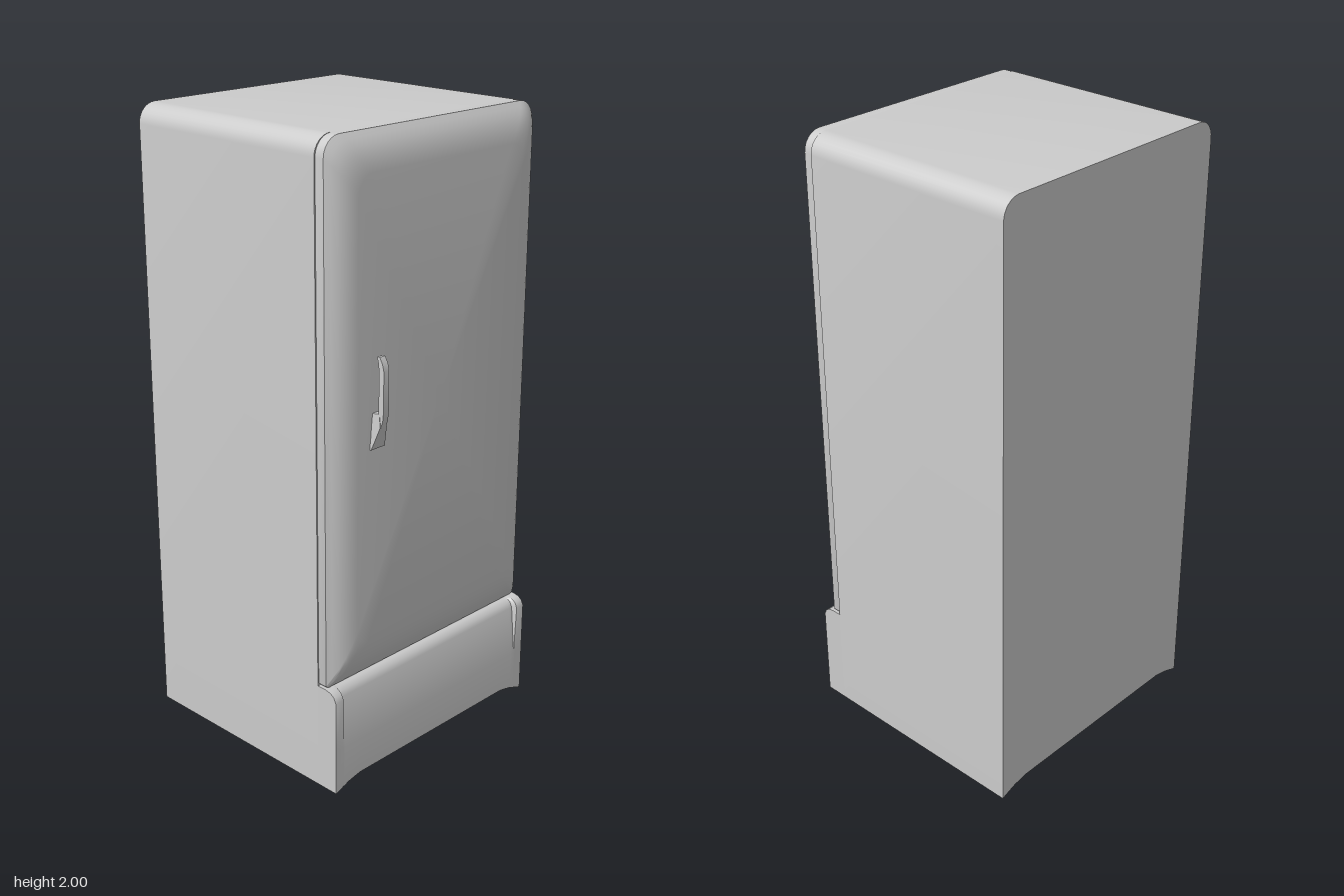
import * as THREE from 'three';
import { toCreasedNormals } from 'three/addons/utils/BufferGeometryUtils.js';

const V = (x, y, z) => new THREE.Vector3(x, y, z);
const material = new THREE.MeshStandardMaterial({ color: 0xcccccc });

// Closed skin through equal-length loops, capped at both ends.
function loft(loops, crease = 0.65) {
  const tris = [];
  const n = loops[0].length;
  for (let i = 0; i < loops.length - 1; i++) {
    for (let j = 0; j < n; j++) {
      const k = (j + 1) % n;
      const [a, b, c, d] = [loops[i][j], loops[i][k], loops[i + 1][k], loops[i + 1][j]];
      tris.push([a, b, c], [a, c, d]);
    }
  }
  const cap = (loop, flip) => {
    const mid = loop.reduce((s, p) => s.add(p), V(0, 0, 0)).divideScalar(n);
    loop.forEach((p, j) => {
      const q = loop[(j + 1) % n];
      tris.push(flip ? [mid, q, p] : [mid, p, q]);
    });
  };
  cap(loops[0], true);
  cap(loops[loops.length - 1], false);
  // Turn the faces outward if the loops ran the other way round
  const centre = loops[0][0];
  const volume = tris.reduce((s, [a, b, c]) =>
    s + a.clone().sub(centre).dot(b.clone().sub(centre).cross(c.clone().sub(centre))), 0);
  if (volume < 0) tris.forEach((t) => t.reverse());
  const geometry = new THREE.BufferGeometry().setFromPoints(tris.flat());
  return toCreasedNormals(geometry, crease);
}

// Arc points of a corner in the z-y plane at depth x
function corner(x, cz, cy, r, start, steps = 6) {
  return Array.from({ length: steps + 1 }, (_, i) => {
    const a = start + (i / steps) * Math.PI / 2;
    return V(x, cy + r * Math.sin(a), cz + r * Math.cos(a));
  });
}

function roundedRect(x, z, y0, y1, rTop, rBottom) {
  return [
    ...corner(x, z - rTop, y1 - rTop, rTop, 0),
    ...corner(x, -z + rTop, y1 - rTop, rTop, Math.PI / 2),
    ...corner(x, -z + rBottom, y0 + rBottom, rBottom, Math.PI),
    ...corner(x, z - rBottom, y0 + rBottom, rBottom, Math.PI * 1.5),
  ];
}

export function createModel() {
  const model = new THREE.Group();
  const add = (name, geometry) => {
    const mesh = new THREE.Mesh(geometry, material);
    mesh.name = name;
    model.add(mesh);
  };

  // Cabinet: rounded top corners, shallow arch between the feet
  const cabinetLoop = (x) => [
    ...corner(x, 0.385, 1.94, 0.06, 0, 8),
    ...corner(x, -0.385, 1.94, 0.06, Math.PI / 2, 8),
    V(x, 0, -0.445), V(x, 0.02, -0.39), V(x, 0.03, -0.34),
    V(x, 0.03, 0.34), V(x, 0.02, 0.39), V(x, 0, 0.445),
  ];
  add('cabinet', loft([cabinetLoop(-0.425), cabinetLoop(0.312)]));

  // Plinth: the front panel leans back between two side cheeks
  const plinthLoop = (z, bottom, lean) => [
    V(0.3, bottom, z), V(0.388, bottom, z), V(0.388, 0.15, z),
    V(0.388 - lean, 0.315, z), V(0.38 - lean, 0.332, z),
    V(0.366 - lean, 0.342, z), V(0.345 - lean, 0.346, z), V(0.3, 0.346, z),
  ];
  const half = [[0.445, 0, 0], [0.412, 0.012, 0], [0.405, 0.014, 0.016], [0.39, 0.02, 0.016], [0.34, 0.03, 0.016]];
  const stations = [...half, ...half.map(([z, b, l]) => [-z, b, l]).reverse()];
  add('plinth', loft(stations.map((s) => plinthLoop(...s))));

  // Door: pillowed edges, softer along the bottom
  const doorSteps = [[0.312, 0], [0.343, 0], [0.356, 0.016], [0.369, 0.036], [0.379, 0.06], [0.385, 0.085], [0.388, 0.11]];
  add('door', loft(doorSteps.map(([x, inset]) =>
    roundedRect(x, 0.441 - inset * 0.8, 0.347 + inset * 1.15, 2 - inset, 0.06, 0.012 + inset * 0.3))));

  // Handle mount: flared block leaning out from the door
  const mountLoop = (y, w, back, front, tip) => [
    V(back, y, 0.275 - w), V(front, y, 0.275 - tip), V(front, y, 0.275 + tip), V(back, y, 0.275 + w),
  ];
  add('handleMount', loft([
    mountLoop(1.09, 0.031, 0.38, 0.392, 0.029),
    mountLoop(1.12, 0.029, 0.38, 0.401, 0.022),
    mountLoop(1.16, 0.026, 0.38, 0.413, 0.014),
    mountLoop(1.2, 0.022, 0.38, 0.408, 0.012),
  ], 0.4));

  // Handle grip: slim bar with its free end bent toward the door
  const gripSteps = [[1.13, 0.39, 0.403], [1.18, 0.402, 0.42], [1.21, 0.405, 0.423], [1.33, 0.405, 0.423], [1.35, 0.403, 0.418], [1.37, 0.398, 0.407]];
  add('handleGrip', loft(gripSteps.map(([y, back, front]) => mountLoop(y, 0.012, back, front, 0.011)), 0.4));

  return model;
}
